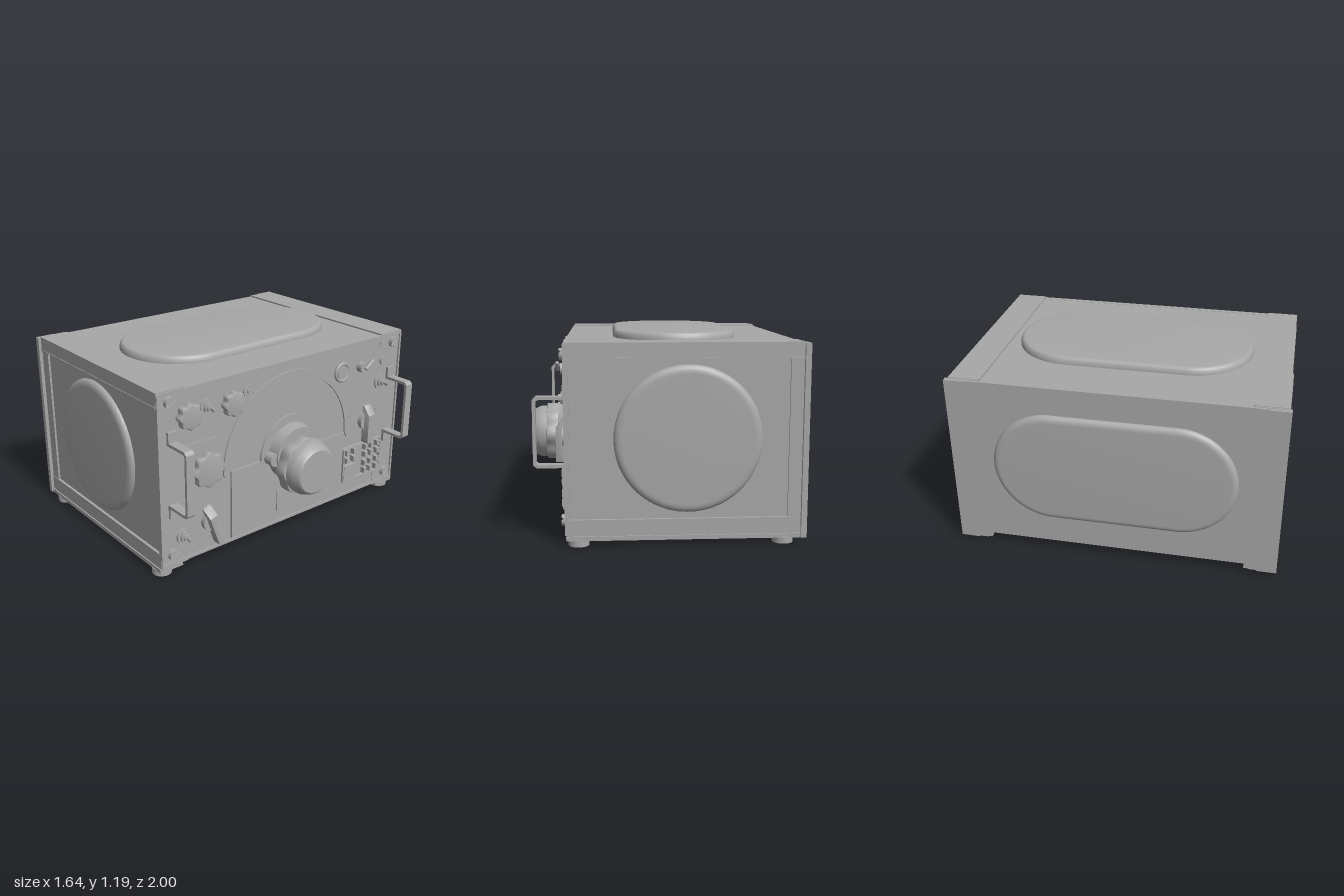
import * as THREE from 'three';
import { toCreasedNormals } from 'three/addons/utils/BufferGeometryUtils.js';

const grey = new THREE.MeshStandardMaterial({ color: 0xa8a8a8 });
grey.name = 'grey paint';

function add(parent, name, geo, x = 0, y = 0, z = 0) {
  const m = new THREE.Mesh(geo, grey);
  m.name = name;
  m.position.set(x, y, z);
  parent.add(m);
  return m;
}
// box given by its limits
function block(parent, name, x0, x1, y0, y1, z0, z1) {
  return add(parent, name, new THREE.BoxGeometry(x1 - x0, y1 - y0, z1 - z0),
    (x0 + x1) / 2, (y0 + y1) / 2, (z0 + z1) / 2);
}
// cylinder standing on the panel, pointing outward (+z)
function disc(parent, name, u, y, z0, z1, r0, r1 = r0) {
  const g = new THREE.CylinderGeometry(r1, r0, z1 - z0, 32).rotateX(Math.PI / 2);
  return add(parent, name, g, u, y, (z0 + z1) / 2);
}
function extrude(shape, depth, bevel = 0, bevelHeight = bevel, segments = 2) {
  const g = new THREE.ExtrudeGeometry(shape, {
    depth, bevelEnabled: bevel > 0, bevelSize: bevel, bevelThickness: bevelHeight,
    bevelOffset: -bevel, bevelSegments: segments, curveSegments: 32,
  });
  return toCreasedNormals(g, 0.6);
}
function stadium(halfLength, r) {
  const s = new THREE.Shape();
  s.absarc(halfLength, 0, r, -Math.PI / 2, Math.PI / 2);
  s.absarc(-halfLength, 0, r, Math.PI / 2, Math.PI * 1.5);
  s.closePath();
  return s;
}
function rect(w, h, r = 0) {
  const s = new THREE.Shape(), a = w / 2, b = h / 2;
  if (!r) return s.moveTo(-a, -b).lineTo(a, -b).lineTo(a, b).lineTo(-a, b).closePath();
  s.absarc(a - r, b - r, r, 0, Math.PI / 2);
  s.absarc(-a + r, b - r, r, Math.PI / 2, Math.PI);
  s.absarc(-a + r, -b + r, r, Math.PI, Math.PI * 1.5);
  s.absarc(a - r, -b + r, r, Math.PI * 1.5, Math.PI * 2);
  return s.closePath();
}
function scallop(r, lobes = 8, wave = 0.08) {
  const pts = [];
  for (let i = 0; i < lobes * 8; i++) {
    const a = (i / (lobes * 8)) * Math.PI * 2;
    const q = r * (1 - wave + wave * Math.cos(lobes * a));
    pts.push(new THREE.Vector2(q * Math.cos(a), q * Math.sin(a)));
  }
  return new THREE.Shape(pts);
}
// pressed bulge whose flat top is `height` above z = 0
function bulge(halfLength, r, height, taper) {
  return extrude(stadium(halfLength, r), 0.001, taper, height, 5);
}

function fluted(panel, name, u, y, r) {
  disc(panel, name + 'Stem', u, y, 0, 0.04, r * 0.5);
  add(panel, name, extrude(scallop(r), 0.034, 0.008), u, y, 0.033);
}
function toggle(panel, u, y, tilt = 0) {
  disc(panel, 'toggleWasher', u, y, 0, 0.012, 0.05);
  add(panel, 'toggleNut', new THREE.CylinderGeometry(0.036, 0.036, 0.02, 6).rotateX(Math.PI / 2), u, y, 0.02);
  disc(panel, 'toggleBushing', u, y, 0.03, 0.045, 0.022);
  const lever = disc(panel, 'toggleLever', u, y, 0.03, 0.085, 0.009, 0.014);
  lever.rotation.set(-tilt, tilt, 0);
}
function selector(panel, u, y, angle) {
  const g = new THREE.Group();
  g.name = 'selector';
  g.position.set(u, y, 0);
  g.rotation.z = angle;
  panel.add(g);
  disc(g, 'selectorBase', 0, 0, 0, 0.03, 0.062);
  const profile = new THREE.Shape([[-0.15, 0.01], [0.11, 0.01], [0.11, 0.022], [0.05, 0.07], [-0.15, 0.07]]
    .map(p => new THREE.Vector2(...p)));
  const geo = extrude(profile, 0.05, 0.004).translate(0, 0, -0.025);
  geo.applyMatrix4(new THREE.Matrix4().makeBasis(
    new THREE.Vector3(0, 1, 0), new THREE.Vector3(0, 0, 1), new THREE.Vector3(1, 0, 0)));
  add(g, 'selectorPointer', geo);
}

function buildCase(root) {
  block(root, 'caseBody', -0.79, 0.55, 0.065, 1.143, -0.965, 0.965);
  for (const s of [-1, 1]) {
    const span = (name, x0, x1, y0, y1, a, b) =>
      block(root, name, x0, x1, y0, y1, Math.min(s * a, s * b), Math.max(s * a, s * b));
    // edge rails around each end
    span('topRail', -0.775, 0.56, 1.065, 1.153, 0.79, 0.982);
    span('topRailLip', -0.775, 0.555, 1.06, 1.07, 0.9, 0.986);
    span('bottomRail', -0.775, 0.56, 0.055, 0.155, 0.79, 0.982);
    span('bottomRailFlange', -0.8, 0.56, 0.035, 0.06, 0.83, 0.99);
    span('rearRail', -0.785, -0.7, 0.045, 1.15, 0.8, 0.978);
    span('rearPost', -0.808, -0.775, 0.035, 1.147, 0.88, 1.0);
    span('rearPostStep', -0.8, -0.775, 0.04, 1.147, 0.8, 0.88);
    // round pressing in each end
    const end = add(root, 'endBulge', bulge(0, 0.42, 0.03, 0.045), -0.13, 0.61, s * 0.964);
    if (s < 0) end.rotation.y = Math.PI;
    // feet
    for (const x of [-0.68, 0.49]) {
      add(root, 'foot', new THREE.CylinderGeometry(0.06, 0.06, 0.04, 32), x, 0.02, s * 0.935);
    }
  }
  // oval pressings on top, bottom and rear
  const pressed = (name, r, h, taper) => bulge(0.74 - r, r, h, taper);
  add(root, 'topBulge', pressed('top', 0.375, 0.047, 0.025).rotateX(-Math.PI / 2).rotateY(Math.PI / 2), -0.095, 1.14, 0);
  add(root, 'bottomBulge', pressed('bottom', 0.375, 0.037, 0.025).rotateX(Math.PI / 2).rotateY(Math.PI / 2), -0.095, 0.066, 0);
  add(root, 'rearBulge', pressed('rear', 0.36, 0.031, 0.04).rotateY(-Math.PI / 2), -0.788, 0.61, 0);
}

function buildPanel(panel) {
  block(panel, 'panelPlate', -0.965, 0.965, 0.08, 1.13, -0.02, 0);
  const rim = rect(1.96, 1.08);
  rim.holes.push(rect(1.93, 1.045));
  add(panel, 'panelRim', extrude(rim, 0.03), 0, 0.605, -0.02);

  // dial arch and lower cover plate
  const arch = new THREE.Shape();
  arch.absarc(0, 0, 0.525, 0, Math.PI);
  arch.absarc(-0.5, -0.02, 0.025, Math.PI, Math.PI * 1.5);
  arch.lineTo(-0.482, 0);
  arch.absarc(0, 0, 0.482, Math.PI, 0, true);
  arch.lineTo(0.5, -0.045);
  arch.absarc(0.5, -0.02, 0.025, -Math.PI / 2, 0);
  add(panel, 'dialArch', extrude(arch, 0.01), 0, 0.55, 0);
  const cover = new THREE.Shape().moveTo(-0.47, 0.09).lineTo(0.47, 0.09).lineTo(0.47, 0.54).lineTo(0.24, 0.54);
  cover.absarc(0, 0.55, 0.24, 0, Math.PI);
  cover.lineTo(-0.24, 0.54).lineTo(-0.47, 0.54);
  add(panel, 'coverPlate', extrude(cover, 0.012));
  add(panel, 'labelPlate', extrude(rect(0.22, 0.145), 0.006), 0, 0.228, 0.012);

  // tuning hub and knob
  disc(panel, 'tuningHub', 0, 0.555, 0, 0.085, 0.185, 0.17);
  for (const s of [-1, 1]) disc(panel, 'hubEar', s * 0.175, 0.55, 0, 0.075, 0.042);
  add(panel, 'tuningGrip', extrude(scallop(0.188, 8, 0.04), 0.064, 0.008), 0, 0.49, 0.09);
  const prof = [[0, 0.14], [0.17, 0.14], [0.17, 0.2], [0.163, 0.215], [0.148, 0.25], [0.138, 0.258], [0, 0.26]]
    .map(p => new THREE.Vector2(...p));
  const knob = toCreasedNormals(new THREE.LatheGeometry(prof, 48).rotateX(Math.PI / 2), 0.5);
  add(panel, 'tuningKnob', knob, 0, 0.49, 0);

  // bail handles: flat strip bent into a C with mounting tabs
  const strip = new THREE.Shape([[0.91, 0], [0.91, 0.018], [0.848, 0.018], [0.848, 0.165], [0.83, 0.185],
    [0.46, 0.185], [0.442, 0.165], [0.442, 0.018], [0.377, 0.018], [0.377, 0], [0.46, 0], [0.46, 0.155],
    [0.47, 0.167], [0.82, 0.167], [0.83, 0.155], [0.83, 0]].map(p => new THREE.Vector2(...p)));
  const handle = extrude(strip, 0.056).translate(0, 0, -0.028);
  handle.applyMatrix4(new THREE.Matrix4().makeBasis(
    new THREE.Vector3(0, 1, 0), new THREE.Vector3(0, 0, 1), new THREE.Vector3(1, 0, 0)));
  for (const s of [-1, 1]) {
    add(panel, 'handle', handle, s * 0.89, 0, 0);
    // slotted corner screws
    for (const y of [0.135, 1.085]) {
      disc(panel, 'cornerScrew', s * 0.9, y, 0, 0.02, 0.034);
      for (const turn of [0, Math.PI]) {
        const half = new THREE.Shape();
        half.absarc(0, 0, 0.033, 0.2, Math.PI - 0.2);
        add(panel, 'screwHead', extrude(half, 0.01), s * 0.9, y, 0.02).rotation.z = turn + 0.5;
      }
    }
  }

  // fluted knobs
  fluted(panel, 'upperKnob', -0.795, 0.99, 0.08);
  fluted(panel, 'upperKnob', -0.485, 0.99, 0.078);
  add(panel, 'knobPlate', extrude(rect(0.25, 0.285, 0.02), 0.008), -0.675, 0.655, 0);
  fluted(panel, 'largeKnob', -0.67, 0.63, 0.112);

  // switches, lamps and selectors
  toggle(panel, -0.64, 0.995);
  toggle(panel, -0.82, 0.23);
  toggle(panel, 0.8, 0.825);
  disc(panel, 'smallSocket', -0.34, 1.02, 0, 0.008, 0.037);
  disc(panel, 'smallSocketPin', -0.34, 1.02, 0.008, 0.02, 0.013);
  add(panel, 'lampRing', new THREE.TorusGeometry(0.056, 0.011, 12, 40), 0.43, 0.97, 0.012);
  disc(panel, 'lampLens', 0.43, 0.97, 0, 0.022, 0.05, 0.045);
  disc(panel, 'leverBase', 0.605, 0.97, 0, 0.04, 0.034);
  const lever = add(panel, 'lever', new THREE.CapsuleGeometry(0.012, 0.07, 4, 12), 0.635, 0.99, 0.055);
  lever.rotation.z = -0.95;
  disc(panel, 'indicator', 0.82, 0.97, 0, 0.012, 0.03);
  const scale = new THREE.Shape().moveTo(-0.15, 0.045);
  scale.quadraticCurveTo(0, 0.32, 0.15, 0.045);
  scale.quadraticCurveTo(0.12, 0.03, 0.1, 0.055);
  scale.quadraticCurveTo(0, 0.1, -0.1, 0.055);
  scale.quadraticCurveTo(-0.12, 0.03, -0.15, 0.045);
  add(panel, 'selectorScale', extrude(scale, 0.006), 0.675, 0.58, 0);
  selector(panel, 0.675, 0.58, 0);
  selector(panel, -0.63, 0.27, 0.33);

  // keypad
  const frame = rect(0.365, 0.25, 0.015);
  frame.holes.push(rect(0.342, 0.228, 0.01));
  add(panel, 'keypadFrame', extrude(frame, 0.025), 0.653, 0.297, 0);
  block(panel, 'keypadBlank', 0.485, 0.592, 0.187, 0.29, 0, 0.024);
  [0.51, 0.575, 0.685, 0.74, 0.8].forEach((u, col) => [0.385, 0.33, 0.265, 0.21].forEach((y, row) => {
    if (col < 2 && row > 1) return;
    block(panel, 'key', u - 0.014, u + 0.014, y - 0.019, y + 0.019, 0, 0.032);
  }));
}

export function createModel() {
  const root = new THREE.Group();
  root.name = 'radioSet';
  buildCase(root);
  // panel is drawn facing +z, then turned to face +x
  const panel = new THREE.Group();
  panel.name = 'controlPanel';
  panel.rotation.y = Math.PI / 2;
  panel.position.x = 0.557;
  root.add(panel);
  buildPanel(panel);
  return root;
}
